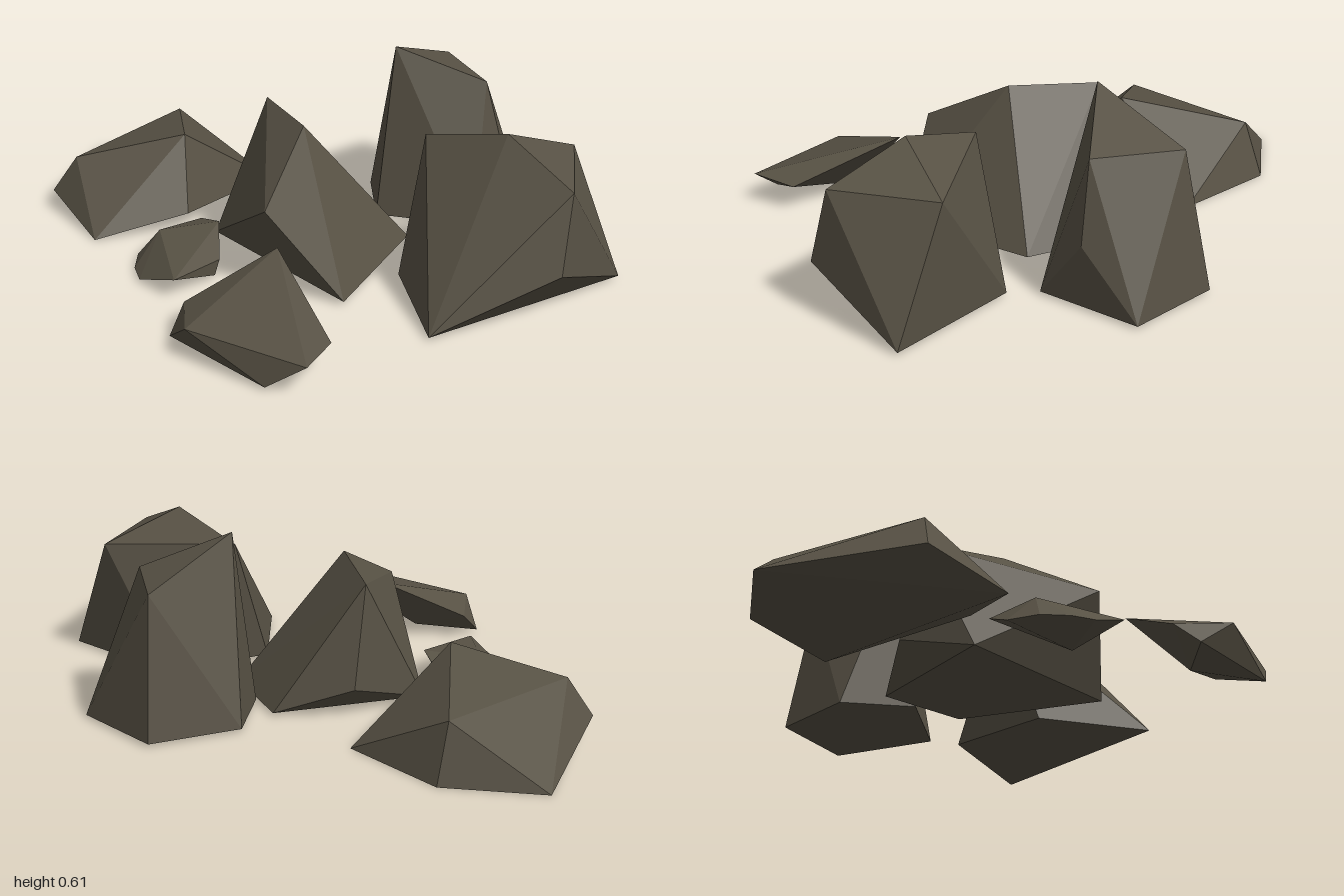
import * as THREE from 'three';
import { ConvexGeometry } from 'three/addons/geometries/ConvexGeometry.js';

// Corner points of each faceted boulder: [x, y, z]
const rocks = {
  flatRock: [
    [-1, 0, 0.13], [-0.78, 0, -0.13], [-0.4, 0, -0.2], [-0.4, 0, 0.56], [-0.25, 0.065, 0.28],
    [-0.7, 0.065, 0.52], [-0.645, 0.19, 0.455], [-0.75, 0.19, -0.07], [-0.39, 0.28, 0.18],
  ],
  backRock: [
    [-0.07, 0.01, -0.74], [0.255, 0.01, -0.81], [0.37, 0.01, -0.46], [0.09, 0.01, -0.27], [-0.11, 0.01, -0.43],
    [0.335, 0.22, -0.63], [0, 0.475, -0.69], [0.28, 0.475, -0.59], [0.085, 0.605, -0.35],
  ],
  centreRock: [
    [-0.045, 0.01, -0.28], [0.275, 0.01, -0.24], [0.47, 0.01, 0.225], [-0.17, 0.01, 0.225],
    [-0.205, 0.1, -0.065], [0.275, 0.3, 0.38], [-0.165, 0.44, 0], [0.13, 0.46, 0.095],
  ],
  leftRock: [
    [0.46, 0.01, -0.41], [0.92, 0.01, -0.555], [0.8, 0.01, 0.18], [0.45, 0.01, -0.03], [1, 0.17, -0.18],
    [0.97, 0.42, -0.245], [0.735, 0.42, -0.515], [0.415, 0.45, -0.17], [0.7, 0.525, -0.24],
  ],
  frontRock: [
    [0.28, 0.01, 0.76], [0.69, 0.01, 0.73], [0.45, 0.01, 0.6], [0.25, 0.085, 0.68],
    [0.41, 0.105, 0.8], [0.8, 0.1, 0.665], [0.73, 0.09, 0.51], [0.37, 0.225, 0.41],
  ],
  smallRock: [
    [-0.245, 0.01, 0.42], [-0.21, 0.01, 0.52], [-0.14, 0.01, 0.585], [-0.065, 0.01, 0.62], [0.07, 0.01, 0.42],
    [0.1, 0.07, 0.605], [0.07, 0.06, 0.4], [-0.17, 0.08, 0.285], [-0.16, 0.1, 0.465], [-0.05, 0.12, 0.305],
  ],
};

export function createModel() {
  const group = new THREE.Group();
  group.name = 'rockCluster';
  const stone = new THREE.MeshStandardMaterial({ color: 0x575144 });
  stone.name = 'stone';

  // Wrap each set of corners in a closed, flat-faced hull
  for (const [name, corners] of Object.entries(rocks)) {
    const points = corners.map((c) => new THREE.Vector3(...c));
    const rock = new THREE.Mesh(new ConvexGeometry(points), stone);
    rock.name = name;
    group.add(rock);
  }
  return group;
}
